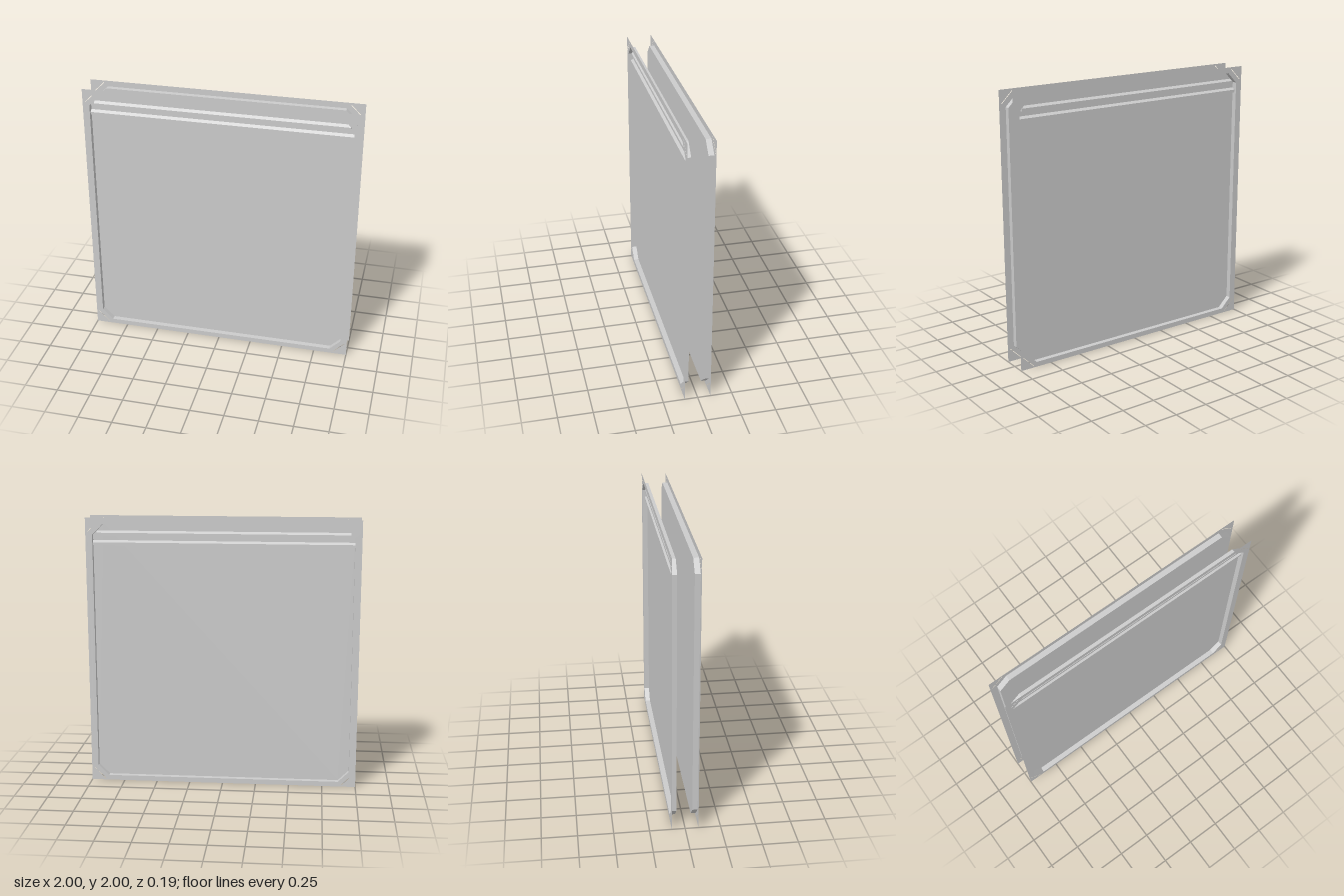
import * as THREE from 'three';

const SHEET_Z = 0.094, FLOOR_Z = 0.056;
const SIDE = 0.95, TOP = 1.957, BOTTOM = 0.037, CUT = 0.08;

const material = new THREE.MeshStandardMaterial({
  color: 0xcccccc, side: THREE.DoubleSide, flatShading: true,
});

function add(group, name, geometry, z = 0) {
  const mesh = new THREE.Mesh(geometry, material);
  mesh.name = name;
  mesh.position.z = z;
  group.add(mesh);
  return mesh;
}

// Octagonal outline of the recess
const outline = [
  [-SIDE, BOTTOM + CUT], [-SIDE + CUT, BOTTOM], [SIDE - CUT, BOTTOM], [SIDE, BOTTOM + CUT],
  [SIDE, TOP - CUT], [SIDE - CUT, TOP], [-SIDE + CUT, TOP], [-SIDE, TOP - CUT],
].map(([x, y]) => new THREE.Vector2(x, y));

// Thin border sheet with the recess opening and a diagonal slit at each corner
function borderGeometry() {
  const shape = new THREE.Shape([[-1, 0], [1, 0], [1, 2], [-1, 2]].map(p => new THREE.Vector2(...p)));
  shape.holes.push(new THREE.Path(outline));
  const w = 0.003;
  for (const sx of [-1, 1]) for (const sy of [-1, 1]) {
    const slit = [[0.895, 0.985], [0.895 + w, 0.985 + w], [0.98 + w, 0.9 + w], [0.98, 0.9]];
    shape.holes.push(new THREE.Path(slit.map(([x, y]) => new THREE.Vector2(sx * x, 1 + sy * y))));
  }
  return new THREE.ShapeGeometry(shape);
}

// Straight wall joining the border to the recessed floor
function wallGeometry() {
  const pos = [];
  outline.forEach((a, i) => {
    const b = outline[(i + 1) % outline.length];
    pos.push(a.x, a.y, SHEET_Z, a.x, a.y, FLOOR_Z, b.x, b.y, FLOOR_Z);
    pos.push(a.x, a.y, SHEET_Z, b.x, b.y, FLOOR_Z, b.x, b.y, SHEET_Z);
  });
  const geometry = new THREE.BufferGeometry();
  geometry.setAttribute('position', new THREE.Float32BufferAttribute(pos, 3));
  geometry.computeVertexNormals();
  return geometry;
}

// Horizontal rib: flat front and a sloping upper side
function ribGeometry(y, halfWidth) {
  const profile = new THREE.Shape();
  profile.moveTo(0, 0);
  profile.lineTo(0.02, 0);
  profile.lineTo(0.02, 0.02);
  profile.lineTo(0, 0.035);
  profile.closePath();
  const geometry = new THREE.ExtrudeGeometry(profile, { depth: 2 * halfWidth, bevelEnabled: false });
  geometry.rotateY(-Math.PI / 2);
  geometry.translate(halfWidth, y, FLOOR_Z);
  return geometry;
}

function createPanel(name) {
  const panel = new THREE.Group();
  panel.name = name;
  add(panel, 'borderSheet', borderGeometry(), SHEET_Z);
  add(panel, 'recessWall', wallGeometry());
  add(panel, 'recessFloor', new THREE.ShapeGeometry(new THREE.Shape(outline)), FLOOR_Z);
  add(panel, 'lowerRib', ribGeometry(1.8, SIDE));
  add(panel, 'upperRib', ribGeometry(1.87, SIDE - 0.028));
  return panel;
}

export function createModel() {
  const model = new THREE.Group();
  model.name = 'doublePanel';
  const front = createPanel('frontPanel');
  const back = createPanel('backPanel');
  back.rotation.y = Math.PI;
  model.add(front, back);
  return model;
}
